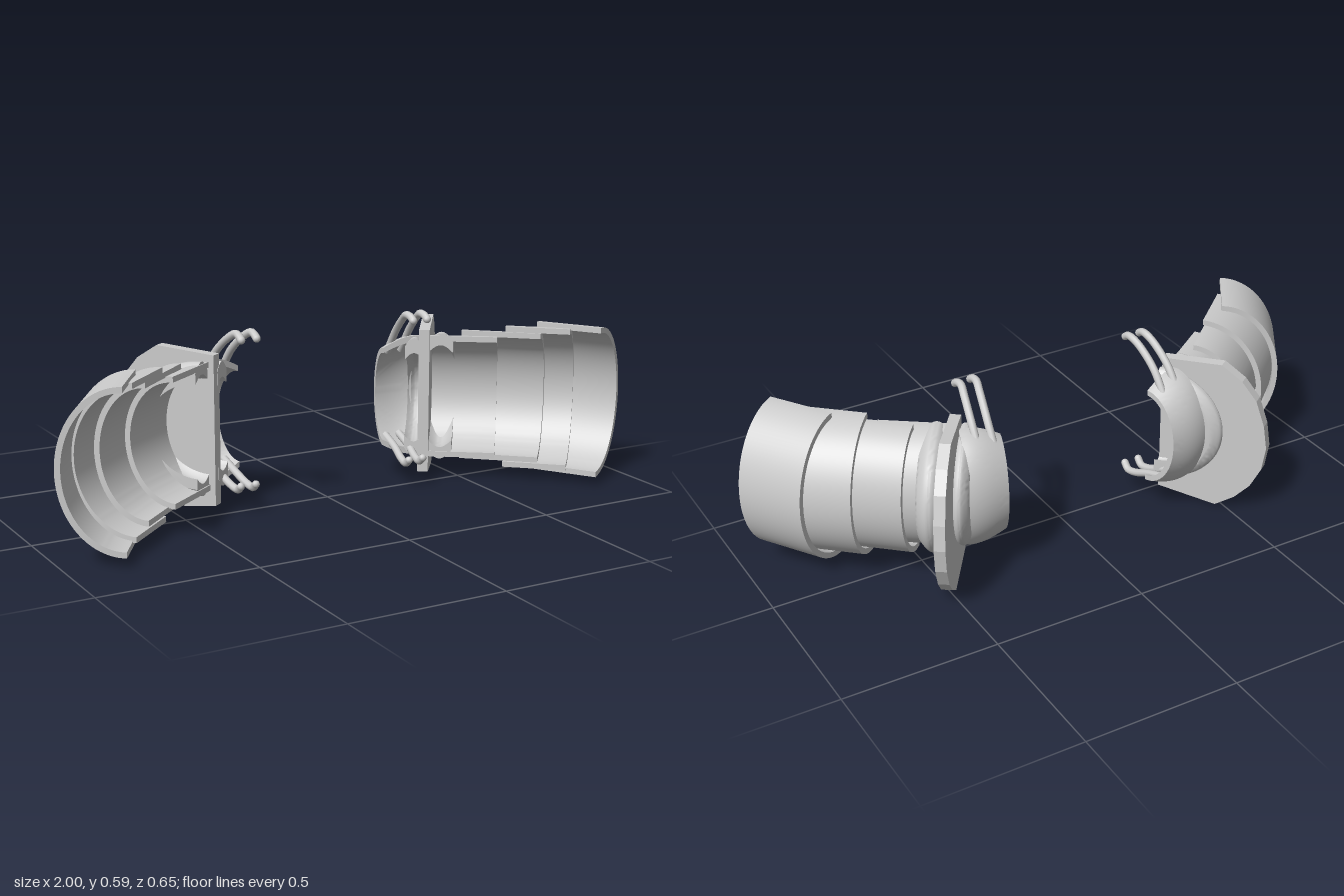
import * as THREE from 'three';
import { toCreasedNormals, mergeVertices } from 'three/addons/utils/BufferGeometryUtils.js';

const MID = 0.278; // height of the arm axis
const material = new THREE.MeshStandardMaterial({ color: 0xcccccc, side: THREE.DoubleSide });

// Turn a local piece (x = outward bulge, z = along the arm) to its place
function place(geo, x, y, z, degrees) {
  return geo.rotateY(THREE.MathUtils.degToRad(90 - degrees)).translate(x, y, z);
}

// Half-elliptic shell, open on the inner side; swell scales the section along its length
function shell({ x, z, angle, length, depth, half, thick = 0.018, swell = null }) {
  const s = new THREE.Shape();
  s.absellipse(0, 0, depth, half, -Math.PI / 2, Math.PI / 2, false);
  s.absellipse(0, 0, depth - thick, half - thick, Math.PI / 2, -Math.PI / 2, true);
  s.closePath();
  const geo = new THREE.ExtrudeGeometry(s, {
    depth: length, steps: swell ? 10 : 1, curveSegments: 28, bevelEnabled: false,
  });
  if (swell) {
    const p = geo.attributes.position;
    for (let i = 0; i < p.count; i++) {
      const k = swell(p.getZ(i) / length);
      p.setXY(i, p.getX(i) * k, p.getY(i) * k);
    }
  }
  return place(toCreasedNormals(geo, 0.7), x, MID, z, angle);
}

// Faceted guard plate standing across the arm
function plate() {
  const pts = [[0, 0.025], [0.2, 0], [0.265, 0.045], [0.315, 0.1], [0.35, 0.17], [0.362, 0.25],
    [0.35, 0.33], [0.32, 0.415], [0.27, 0.475], [0.2, 0.52], [0, 0.505]];
  const s = new THREE.Shape(pts.map(([u, y]) => new THREE.Vector2(u, y)));
  const geo = new THREE.ExtrudeGeometry(s, { depth: 0.035, bevelEnabled: false });
  return place(geo, 0.362, 0, -0.035, 36);
}

// Bent rod with a rounded tip, path given as [x, y, z]
function rod(points) {
  const path = new THREE.CatmullRomCurve3(points.map(p => new THREE.Vector3(...p)));
  return new THREE.TubeGeometry(path, 24, 0.0125, 10);
}

function tip(p) {
  return new THREE.SphereGeometry(0.0125, 10, 8).translate(...p);
}

// Mirror a geometry in x and restore its winding
function mirrored(geo) {
  const g = geo.index ? geo.clone() : mergeVertices(geo);
  g.scale(-1, 1, 1);
  const ix = g.index;
  for (let i = 0; i < ix.count; i += 3) {
    const a = ix.getX(i);
    ix.setX(i, ix.getX(i + 2));
    ix.setX(i + 2, a);
  }
  return g;
}

export function createModel() {
  const round = t => 0.86 + 0.14 * Math.sin(Math.PI * t);
  const parts = [
    // Overlapping lames, from the far end to the plate
    ['outerLame', shell({ x: 0.71, z: 0.135, angle: 57, length: 0.22, depth: 0.2, half: 0.25 })],
    ['secondLame', shell({ x: 0.61, z: 0.1, angle: 42, length: 0.21, depth: 0.21, half: 0.238 })],
    ['thirdLame', shell({ x: 0.505, z: 0, angle: 42, length: 0.26, depth: 0.17, half: 0.218 })],
    ['innerLame', shell({ x: 0.4, z: -0.03, angle: 36, length: 0.22, depth: 0.17, half: 0.205 })],
    ['guardPlate', plate()],
    // Rounded rings on both faces of the plate
    ['outerRing', shell({ x: 0.4, z: -0.035, angle: 36, length: 0.08, depth: 0.235, half: 0.213,
      thick: 0.04, swell: round })],
    ['innerRing', shell({ x: 0.325, z: -0.06, angle: 36, length: 0.06, depth: 0.22, half: 0.2,
      thick: 0.05, swell: round })],
    // Short barrel-shaped cuff
    ['cuff', shell({ x: 0.265, z: -0.1, angle: 16, length: 0.13, depth: 0.115, half: 0.165,
      swell: t => 1 + 0.22 * Math.sin(Math.PI * 0.6 * t) })],
  ];

  // Two upper and two lower hooks on the cuff
  for (const x of [0.28, 0.332]) {
    const upper = [[x + 0.025, 0.42, -0.14], [x + 0.02, 0.5, -0.08], [x + 0.008, 0.555, -0.015],
      [x, 0.573, 0.02], [x, 0.57, 0.045], [x, 0.56, 0.06]];
    const lower = [[x + 0.02, 0.135, -0.14], [x + 0.015, 0.11, -0.07], [x + 0.005, 0.085, -0.01],
      [x, 0.08, 0.025], [x, 0.095, 0.045]];
    for (const [name, path] of [['upperHook', upper], ['lowerHook', lower]]) {
      parts.push([name, rod(path)], [name + 'Tip', tip(path[path.length - 1])]);
    }
  }

  const model = new THREE.Group();
  for (const side of ['left', 'right']) {
    const arm = new THREE.Group();
    arm.name = side + 'ArmGuard';
    for (const [name, geo] of parts) {
      const mesh = new THREE.Mesh(side === 'left' ? geo : mirrored(geo), material);
      mesh.name = name;
      arm.add(mesh);
    }
    model.add(arm);
  }
  return model;
}
